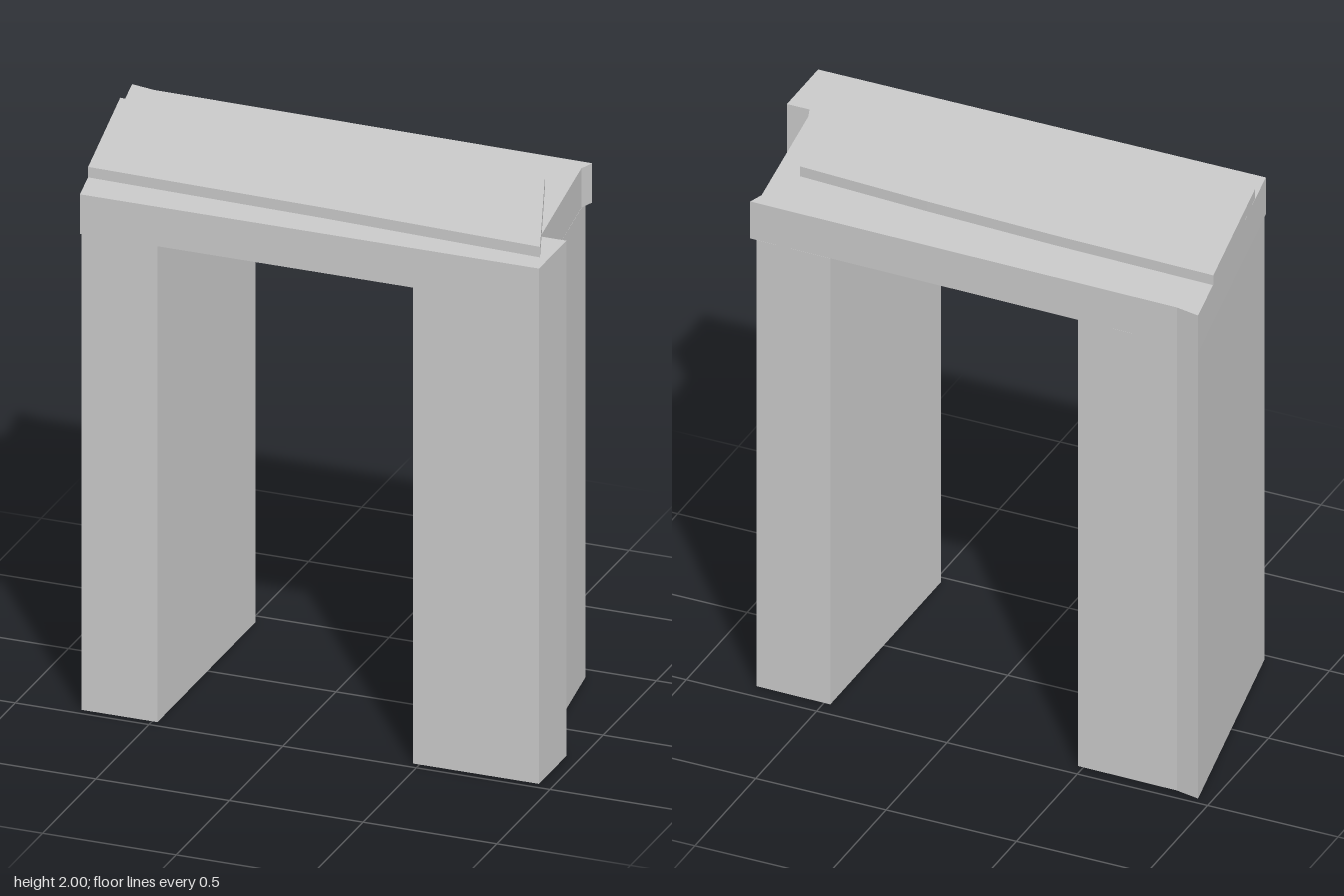
import * as THREE from 'three';

const material = new THREE.MeshStandardMaterial({ color: 0xcccccc, flatShading: true });

// Upright prism from an [x, z] outline, between two heights
function prism(name, outline, bottom, top) {
  const shape = new THREE.Shape(outline.map(([x, z]) => new THREE.Vector2(x, z)));
  const geometry = new THREE.ExtrudeGeometry(shape, { depth: top - bottom, bevelEnabled: false });
  geometry.rotateX(Math.PI / 2); // outline into the ground plane, depth running down
  geometry.translate(0, top, 0);
  const mesh = new THREE.Mesh(geometry, material);
  mesh.name = name;
  return mesh;
}

export function createModel() {
  const group = new THREE.Group();
  group.name = 'gateway';
  const underside = 1.81, lintelTop = 1.96;

  // Skewed pillar with a small flare at its back corner
  group.add(prism('rightPillar', [
    [-0.95, -0.472], [-0.86, -0.454], [-0.48, -0.45], [-0.48, 0.47], [-0.764, 0.47],
  ], 0, underside));

  // Pillar with a step at its front outer corner
  group.add(prism('leftPillar', [
    [0.476, -0.439], [0.76, -0.436], [0.85, 0.213], [0.947, 0.213], [0.947, 0.47], [0.476, 0.47],
  ], 0, underside));

  // Lintel across both pillars, with a little lip at the back
  group.add(prism('lintel', [
    [-0.95, -0.472], [-0.86, -0.454], [0.785, -0.435], [0.767, -0.38],
    [0.85, 0.213], [0.947, 0.213], [0.947, 0.47], [-0.77, 0.47],
  ], underside, lintelTop));

  // Thin slab lying on the lintel
  group.add(prism('capSlab', [
    [-0.912, -0.265], [-0.3, -0.254], [0.2, -0.235], [0.7, -0.208],
    [0.915, 0.38], [0.1, 0.347], [-0.797, 0.325],
  ], lintelTop, 2));

  return group;
}
